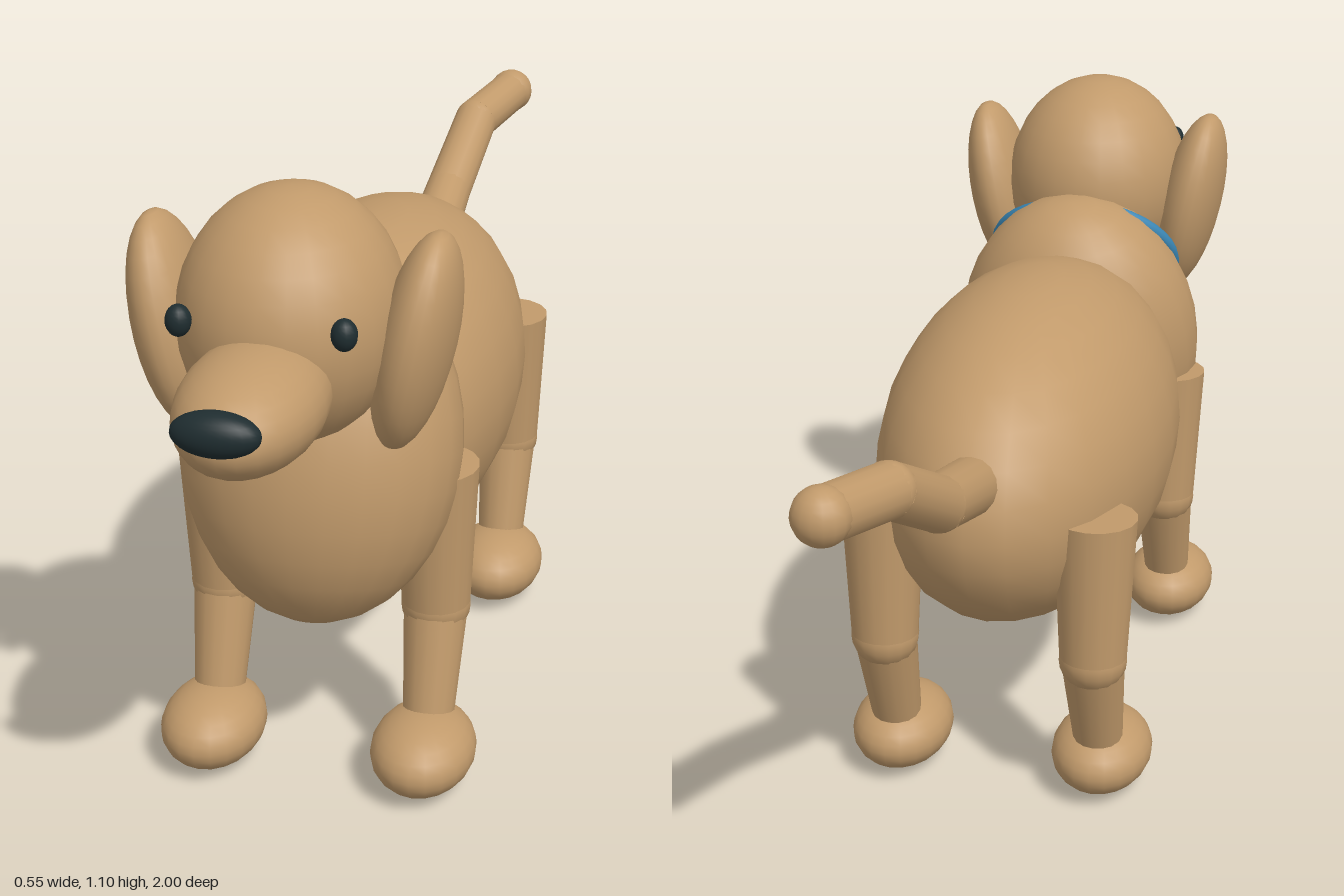
import * as THREE from 'three';

const material = (name, color) => {
  const m = new THREE.MeshStandardMaterial({ color });
  m.name = name;
  return m;
};

export function createModel() {
  const tan = material('tan fur', 0xc19a6b);
  const dark = material('dark nose and eyes', 0x1f2d30);
  const blue = material('blue collar', 0x3a86b4);
  const dog = new THREE.Group();
  dog.name = 'dog';

  const add = (name, geometry, mat, parent = dog) => {
    const mesh = new THREE.Mesh(geometry, mat);
    mesh.name = name;
    parent.add(mesh);
    return mesh;
  };

  const ellipsoid = (name, pos, radii, mat = tan, parent = dog, w = 24, h = 16) => {
    const mesh = add(name, new THREE.SphereGeometry(1, w, h), mat, parent);
    mesh.position.set(...pos);
    mesh.scale.set(...radii);
    return mesh;
  };

  // Tapered cylinder running from point a to point b
  const limb = (name, a, b, ra, rb, parent = dog) => {
    const start = new THREE.Vector3(...a), end = new THREE.Vector3(...b);
    const dir = end.clone().sub(start);
    const mesh = add(name, new THREE.CylinderGeometry(rb, ra, dir.length(), 16), tan, parent);
    mesh.position.copy(start).add(end).multiplyScalar(0.5);
    mesh.quaternion.setFromUnitVectors(new THREE.Vector3(0, 1, 0), dir.normalize());
    return mesh;
  };

  // Trunk
  ellipsoid('body', [0, 0.57, 0.01], [0.26, 0.3, 0.495]);
  ellipsoid('chest', [0, 0.61, 0.41], [0.237, 0.31, 0.21]).rotation.x = -0.25;

  // Collar, mostly sunk between the chest and head
  const collar = add('collar', new THREE.TorusGeometry(0.175, 0.014, 10, 40), blue);
  collar.position.set(0, 0.775, 0.455);
  collar.rotation.x = -0.61;
  collar.scale.y = 0.83;

  // Head
  ellipsoid('head', [0, 0.897, 0.572], [0.177, 0.202, 0.203]);
  ellipsoid('muzzle', [0, 0.837, 0.79], [0.11, 0.087, 0.185]);
  ellipsoid('nose', [0, 0.868, 0.967], [0.066, 0.034, 0.032], dark);
  for (const side of [1, -1]) {
    const name = side > 0 ? 'left' : 'right';
    ellipsoid(name + 'Eye', [side * 0.125, 0.937, 0.743], [0.02, 0.025, 0.02], dark, dog, 16, 12);
    ellipsoid(name + 'Ear', [side * 0.192, 0.861, 0.56], [0.06, 0.181, 0.113]).rotation.z = -side * 0.2;
  }

  // Legs: upper leg, joint, lower leg and paw
  for (const [end, z] of [['front', 0.375], ['back', -0.32]]) {
    for (const side of [1, -1]) {
      const leg = new THREE.Group();
      leg.name = end + (side > 0 ? 'Left' : 'Right') + 'Leg';
      leg.position.set(side * 0.187, 0, z);
      dog.add(leg);
      limb('upperLeg', [0, 0.57, 0], [0, 0.305, -0.008], 0.072, 0.059, leg);
      ellipsoid('joint', [0, 0.305, -0.008], [0.06, 0.06, 0.06], tan, leg, 16, 12);
      limb('lowerLeg', [0, 0.305, -0.008], [0, 0.125, 0.044], 0.056, 0.045, leg);
      ellipsoid('paw', [0, 0.07, 0.085], [0.09, 0.068, 0.12], tan, leg, 20, 14);
    }
  }

  // Tail: bent tapered segments with rounded joints
  const path = [[0, 0.657, -0.435], [0, 0.71, -0.62], [0.022, 0.812, -0.8], [0.07, 0.837, -0.955]];
  const radii = [0.05, 0.046, 0.044, 0.043];
  for (let i = 0; i < 3; i++) {
    limb('tailSegment', path[i], path[i + 1], radii[i], radii[i + 1]);
    const r = i === 2 ? 0.045 : radii[i + 1];
    ellipsoid(i === 2 ? 'tailTip' : 'tailJoint', path[i + 1], [r, r, r], tan, dog, 16, 12);
  }

  return dog;
}
